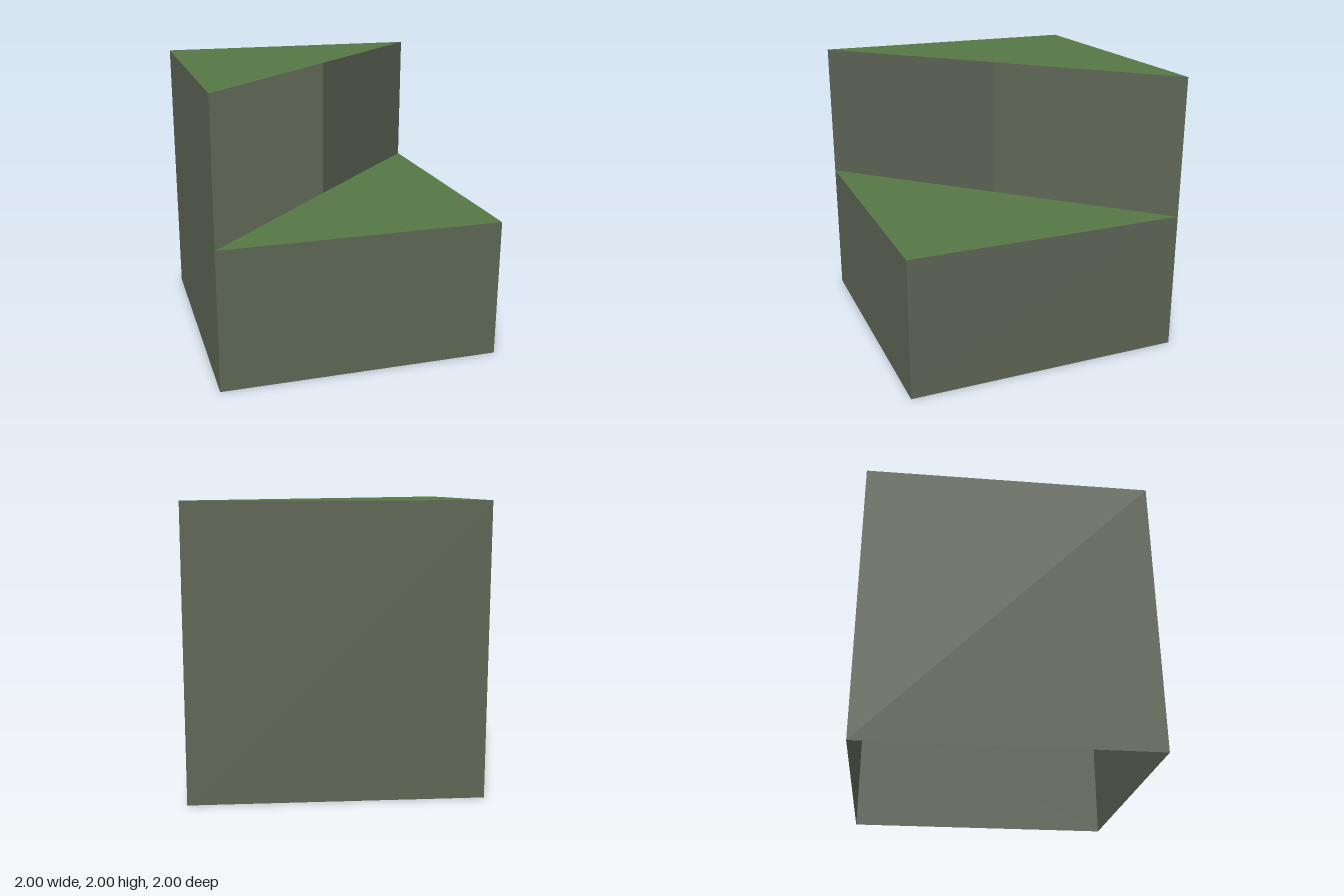
import * as THREE from 'three';

export function createModel() {
  const model = new THREE.Group();
  model.name = 'steppedBlock';

  const grey = new THREE.MeshStandardMaterial({ color: 0x5e6756, side: THREE.DoubleSide });
  grey.name = 'greyWall';
  const green = new THREE.MeshStandardMaterial({ color: 0x567846, side: THREE.DoubleSide });
  green.name = 'greenTop';

  const add = (name, geometry, material) => {
    const mesh = new THREE.Mesh(geometry, material);
    mesh.name = name;
    model.add(mesh);
  };

  // Upright sheet between two [x, z] points, facing right of the path
  const wall = (name, [x0, z0], [x1, z1], bottom, top) => {
    const dx = x1 - x0, dz = z1 - z0;
    const geometry = new THREE.PlaneGeometry(Math.hypot(dx, dz), top - bottom);
    geometry.rotateY(Math.atan2(-dz, dx));
    geometry.translate((x0 + x1) / 2, (bottom + top) / 2, (z0 + z1) / 2);
    add(name, geometry, grey);
  };

  // Level triangular sheet through [x, z] corners, facing up
  const deck = (name, corners, y) => {
    const shape = new THREE.Shape(corners.map(([x, z]) => new THREE.Vector2(x, -z)));
    const geometry = new THREE.ShapeGeometry(shape);
    geometry.rotateX(-Math.PI / 2);
    geometry.translate(0, y, 0);
    add(name, geometry, green);
  };

  const frontLeft = [1, 1], frontRight = [-1, 1];
  const backLeft = [1, -1], backRight = [-1, -1];

  // Low walls at the front, full-height walls behind; the underside is open
  wall('frontWall', frontRight, frontLeft, 0, 1);
  wall('leftWall', frontLeft, backLeft, 0, 1);
  wall('backWall', backLeft, backRight, 0, 2);
  wall('rightWall', backRight, frontRight, 0, 2);

  // Half of the diagonal step is closed, the other half is open
  wall('diagonalRiser', [0, 0], backLeft, 1, 2);

  // Two triangular tops meeting over the diagonal
  deck('lowerTop', [frontRight, frontLeft, backLeft], 1);
  deck('upperTop', [frontRight, backLeft, backRight], 2);

  return model;
}
